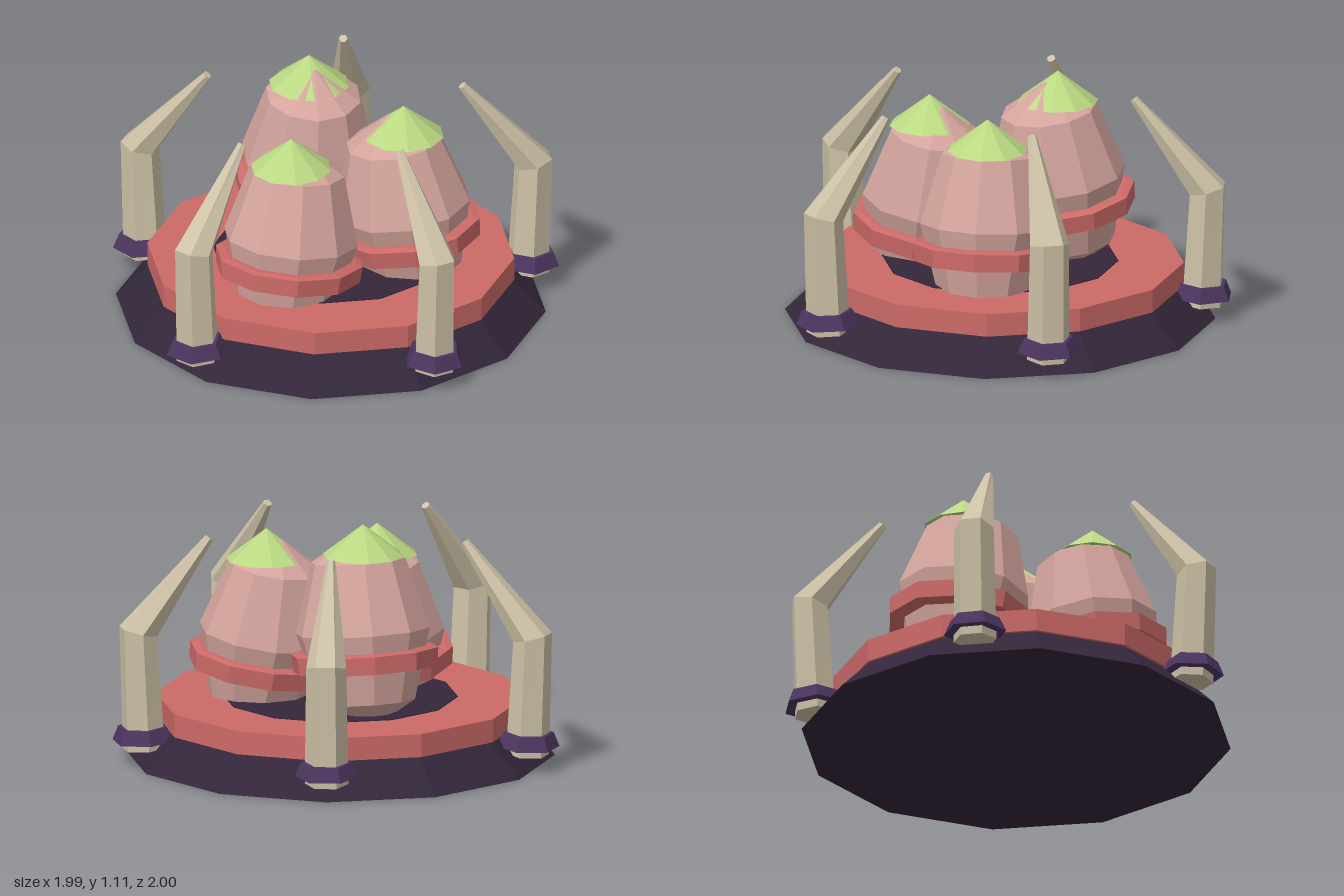
import * as THREE from 'three';

const mat = (name, color) => {
  const m = new THREE.MeshStandardMaterial({ color, flatShading: true });
  m.name = name;
  return m;
};

// Faceted tube through hexagonal sections { r: distance outward, y, rad, tilt }
function hexLoft(sections) {
  const pos = [], idx = [], n = 6;
  for (const { r, y, rad, tilt } of sections) {
    for (let j = 0; j < n; j++) {
      const t = Math.PI / 6 + (j * Math.PI) / 3;
      const v = rad * Math.cos(t);
      pos.push(r + v * Math.cos(tilt), y + v * Math.sin(tilt), rad * Math.sin(t));
    }
  }
  const last = (sections.length - 1) * n;
  for (let s = 0; s < last; s += n) {
    for (let j = 0; j < n; j++) {
      const a = s + j, b = s + ((j + 1) % n);
      idx.push(a, a + n, b, b, a + n, b + n);
    }
  }
  for (let j = 1; j < n - 1; j++) {
    idx.push(0, j, j + 1, last, last + j + 1, last + j);
  }
  const g = new THREE.BufferGeometry();
  g.setAttribute('position', new THREE.Float32BufferAttribute(pos, 3));
  g.setIndex(idx);
  const flat = g.toNonIndexed();
  flat.computeVertexNormals();
  return flat;
}

export function createModel() {
  const root = new THREE.Group();
  root.name = 'eggNest';
  const dark = mat('dark base', 0x33263a);
  const red = mat('coral red', 0xcc6a68);
  const pink = mat('egg pink', 0xd4a49d);
  const green = mat('cap green', 0xbad882);
  const bone = mat('bone', 0xcdc1a6);
  const purple = mat('collar purple', 0x4c3560);

  const add = (parent, name, geometry, material, x = 0, y = 0, z = 0) => {
    const m = new THREE.Mesh(geometry, material);
    m.name = name;
    m.position.set(x, y, z);
    parent.add(m);
    return m;
  };

  // Everything sits on an axis slightly off the origin
  const C = -0.03;
  add(root, 'base', new THREE.CylinderGeometry(0.805, 0.966, 0.16, 12), dark, C, 0.08, C);
  add(root, 'platform', new THREE.CylinderGeometry(0.825, 0.825, 0.106, 12), red, C, 0.207, C);
  add(root, 'nestFloor', new THREE.CylinderGeometry(0.53, 0.53, 0.008, 12), dark, C, 0.26, C);

  // Eggs lean toward the middle; their caps stay level
  const eggGeo = new THREE.SphereGeometry(0.305, 10, 4).scale(1, 0.45 / 0.305, 1);
  const capGeo = new THREE.ConeGeometry(0.182, 0.142, 10, 1, false, Math.PI / 2);
  const bandGeo = new THREE.LatheGeometry(
    [[0.26, -0.045], [0.328, -0.045], [0.337, 0.035], [0.305, 0.045], [0.26, 0.045]]
      .map(([x, y]) => new THREE.Vector2(x, y)), 10, Math.PI / 2);
  const up = new THREE.Vector3(0, 1, 0);
  const eggs = [
    ['backEgg', -0.01, 0.62, -0.307, 0, 1],
    ['rightEgg', -0.322, 0.487, 0.18, 0.87, -0.49],
    ['leftEgg', 0.24, 0.527, 0.163, -0.8, -0.6],
  ];
  for (const [name, x, y, z, dx, dz] of eggs) {
    const egg = new THREE.Group();
    egg.name = name;
    egg.position.set(x, y, z);
    const body = new THREE.Group();
    body.name = name + 'Body';
    body.quaternion.setFromUnitVectors(up, new THREE.Vector3(dx * 0.15, 1, dz * 0.15).normalize());
    add(body, 'eggShell', eggGeo, pink);
    add(body, 'eggBand', bandGeo, red, 0, -0.125, 0);
    egg.add(body);
    add(egg, 'eggCap', capGeo, green, 0, 0.419, 0);
    root.add(egg);
  }

  // Five bent claws with collars around the rim
  const clawGeo = hexLoft([
    { r: 0.905, y: 0.072, rad: 0.098, tilt: -0.06 },
    { r: 0.93, y: 0.61, rad: 0.09, tilt: 0.25 },
    { r: 0.602, y: 1.022, rad: 0.02, tilt: 0.67 },
  ]);
  const collarGeo = hexLoft([
    { r: 0.907, y: 0.108, rad: 0.143, tilt: -0.04 },
    { r: 0.911, y: 0.172, rad: 0.113, tilt: -0.04 },
  ]);
  for (let i = 0; i < 5; i++) {
    const claw = new THREE.Group();
    claw.name = 'claw' + (i + 1);
    claw.position.set(C, 0, C);
    claw.rotation.y = -THREE.MathUtils.degToRad(12 + 72 * i);
    add(claw, 'clawBone', clawGeo, bone);
    add(claw, 'clawCollar', collarGeo, purple);
    root.add(claw);
  }
  return root;
}
